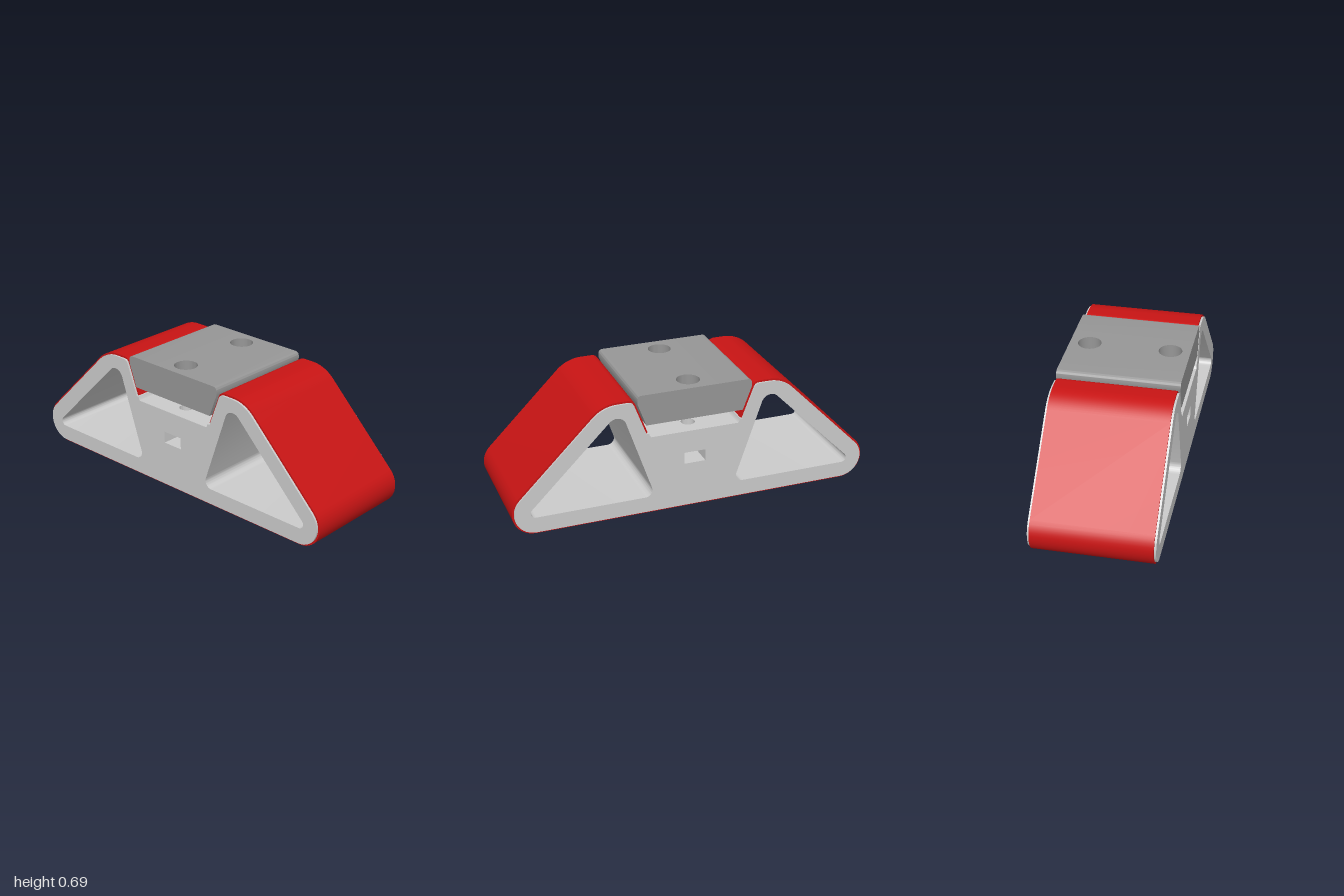
import * as THREE from 'three';
import { toCreasedNormals } from 'three/addons/utils/BufferGeometryUtils.js';

const V = (x, y) => new THREE.Vector2(x, y);
const BODY_HALF = 0.328, SKIN_HALF = 0.317, SKIN = 0.01;
const CORE = 0.2;               // half width of the body's middle block
const CAP_CORE = 0.12;          // half width of the cap's drilled middle
const BOLT_Z = 0.22, BOLT_R = 0.038, HEAD_R = 0.063;

// Polyline through [x, y, radius] corners, with each corner rounded by an arc
function rounded(corners, closed = true, steps = 14) {
  const n = corners.length, out = [];
  corners.forEach(([x, y, r], i) => {
    const p = V(x, y);
    if (!r || (!closed && (i === 0 || i === n - 1))) { out.push(p); return; }
    const a = V(...corners[(i + n - 1) % n]).sub(p).normalize();
    const b = V(...corners[(i + 1) % n]).sub(p).normalize();
    const half = Math.acos(a.dot(b)) / 2;
    const c = p.clone().addScaledVector(a.clone().add(b).normalize(), r / Math.sin(half));
    const t = r / Math.tan(half);
    const s = p.clone().addScaledVector(a, t).sub(c).angle();
    let sweep = p.clone().addScaledVector(b, t).sub(c).angle() - s;
    if (sweep > Math.PI) sweep -= 2 * Math.PI;
    if (sweep < -Math.PI) sweep += 2 * Math.PI;
    for (let k = 0; k <= steps; k++) {
      const ang = s + sweep * k / steps;
      out.push(V(c.x + r * Math.cos(ang), c.y + r * Math.sin(ang)));
    }
  });
  return out;
}

// Shift an open polyline to its right-hand side
function offset(points, d) {
  return points.map((p, i) => {
    const next = points[Math.min(i + 1, points.length - 1)];
    const t = next.clone().sub(points[Math.max(i - 1, 0)]).normalize();
    return V(p.x + t.y * d, p.y - t.x * d);
  });
}

const mirror = (points, side) => points.map(p => V(p.x * side, p.y));

function extrude(points, holes, depth) {
  const shape = new THREE.Shape(points);
  shape.holes = holes;
  return new THREE.ExtrudeGeometry(shape, { depth, bevelEnabled: false, curveSegments: 24 });
}

// Front-facing profile, centred in z
function alongZ(points, halfDepth, holes = []) {
  const g = extrude(points, holes, halfDepth * 2).translate(0, 0, -halfDepth);
  return toCreasedNormals(g, 0.5);
}

// Floor-plan profile, standing between two heights
function alongY(points, y0, y1, holes = []) {
  const g = extrude(points, holes, y1 - y0).rotateX(-Math.PI / 2).translate(0, y0, 0);
  return toCreasedNormals(g, 0.5);
}

const rectangle = (w, d) => [V(-w, -d), V(w, -d), V(w, d), V(-w, d)];

const boltHoles = r => [-1, 1].map(s => {
  const h = new THREE.Path();
  h.absarc(0, s * BOLT_Z, r, 0, Math.PI * 2, true);
  return h;
});

export function createModel() {
  const group = new THREE.Group();
  const grey = new THREE.MeshStandardMaterial({ color: 0xcccccc });
  const darkGrey = new THREE.MeshStandardMaterial({ color: 0x969696 });
  const red = new THREE.MeshStandardMaterial({ color: 0xc81414 });
  const add = (parent, name, geometry, material) => {
    const mesh = new THREE.Mesh(geometry, material);
    mesh.name = name;
    parent.add(mesh);
  };
  const part = name => {
    const g = new THREE.Group();
    g.name = name;
    group.add(g);
    return g;
  };

  // Half outline: from inside the slot, over the shoulder, round the foot, to the middle
  const outer = rounded([
    [0.26, 0.475], [0.335, 0.672, 0.04], [0.505, 0.672, 0.2], [1.177, 0, 0.125], [0, 0],
  ], false);
  const inner = offset(outer, SKIN);

  // Red skin wrapped around the body, open at the slot
  const whole = half => [...half, ...mirror(half, -1).reverse().slice(1)];
  add(group, 'skin', alongZ([...whole(outer), ...whole(inner).reverse()], SKIN_HALF), red);

  // Body wings with triangular openings
  const body = part('body');
  const wing = [
    ...inner.slice(0, -1),
    V(CORE, SKIN), V(CORE, 0.45), V(0.245, 0.45), V(0.25, 0.455), V(0.256, 0.472),
  ];
  const opening = rounded([[0.224, 0.098, 0.04], [0.942, 0.098, 0.027], [0.408, 0.632, 0.053]]);
  for (const side of [1, -1]) {
    const hole = new THREE.Path(mirror(opening, side));
    add(body, side > 0 ? 'leftWing' : 'rightWing',
      alongZ(mirror(wing, side), BODY_HALF, [hole]), grey);
  }

  // Middle block in layers: base, pointed nut pockets, bolt holes
  add(body, 'base', alongY(rectangle(CORE, BODY_HALF), SKIN, 0.26), grey);
  const pocketEdge = [
    V(-CORE, -BODY_HALF), V(-0.06, -BODY_HALF), V(-0.06, -0.185), V(0, -0.15),
    V(0.06, -0.185), V(0.06, -BODY_HALF), V(CORE, -BODY_HALF),
  ];
  const pocketPlan = [...pocketEdge, ...pocketEdge.map(p => V(-p.x, -p.y))];
  add(body, 'nutPocketLayer', alongY(pocketPlan, 0.26, 0.325), grey);
  add(body, 'slotFloor',
    alongY(rectangle(CORE, BODY_HALF), 0.325, 0.45, boltHoles(BOLT_R)), grey);

  // Clamping cap: tapered sides and a middle with counterbored bolt holes
  const cap = part('cap');
  const capSide = rounded([
    [CAP_CORE, 0.522], [0.27, 0.522], [0.318, 0.65], [0.318, 0.695, 0.022], [CAP_CORE, 0.695],
  ]);
  for (const side of [1, -1]) {
    add(cap, side > 0 ? 'leftCapSide' : 'rightCapSide',
      alongZ(mirror(capSide, side), BODY_HALF), darkGrey);
  }
  const capPlan = rectangle(CAP_CORE, BODY_HALF);
  add(cap, 'capBoltSeat', alongY(capPlan, 0.522, 0.61, boltHoles(BOLT_R)), darkGrey);
  add(cap, 'capCounterbore', alongY(capPlan, 0.61, 0.695, boltHoles(HEAD_R)), darkGrey);

  return group;
}
